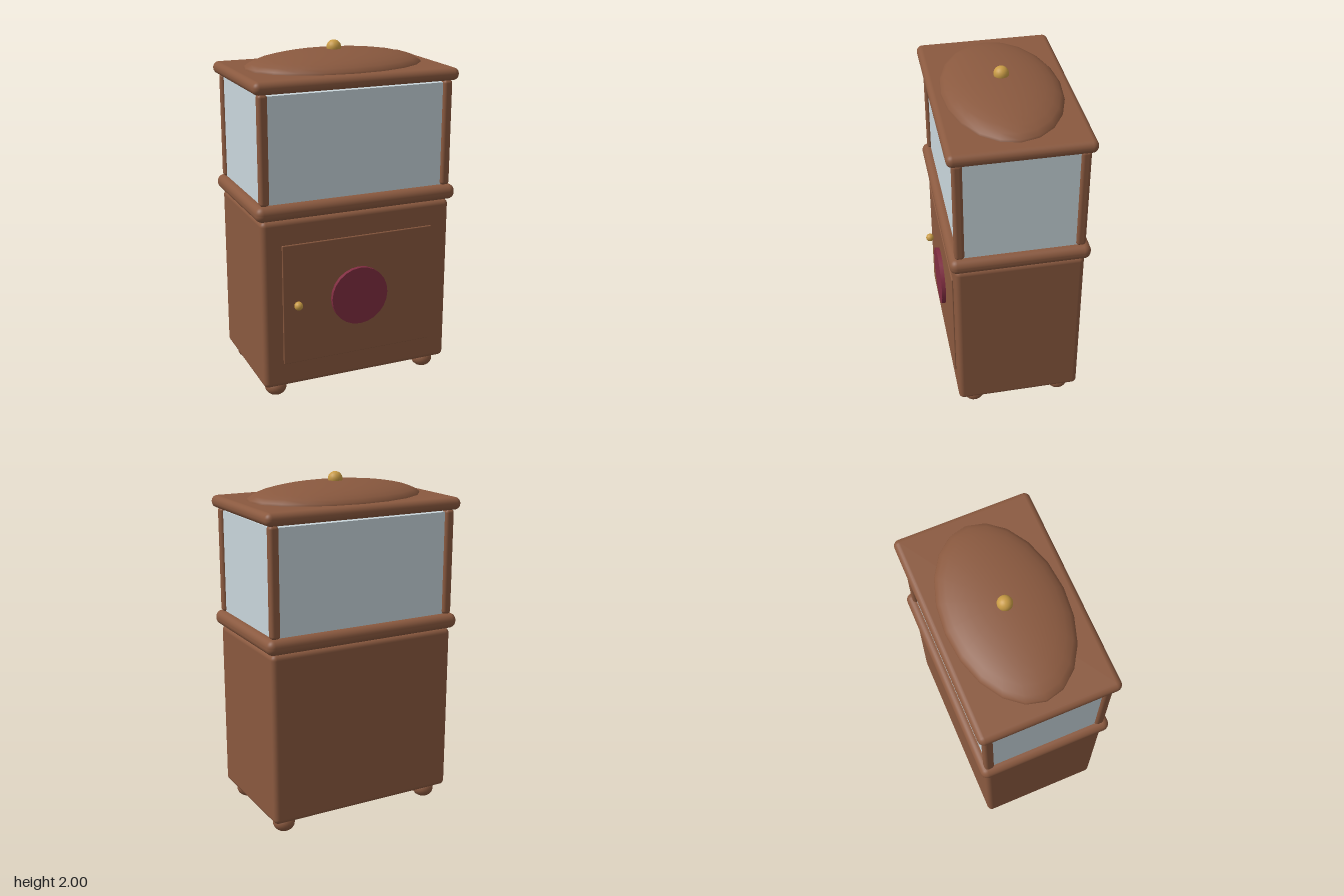
import * as THREE from 'three';
import { RoundedBoxGeometry } from 'three/addons/geometries/RoundedBoxGeometry.js';

export function createModel() {
  const model = new THREE.Group();
  model.name = 'displayCabinet';
  const mat = (name, color) => {
    const m = new THREE.MeshStandardMaterial({ color });
    m.name = name;
    return m;
  };
  const wood = mat('wood', 0x8a593f);
  const glass = mat('paleGlass', 0xc9d6dc);
  const brass = mat('brass', 0xc89b45);
  const crimson = mat('crimson', 0x802d41);

  const ZC = -0.015; // centre of the cabinet in depth
  const add = (name, geometry, material, x, y, z) => {
    const mesh = new THREE.Mesh(geometry, material);
    mesh.name = name;
    mesh.position.set(x, y, z);
    model.add(mesh);
    return mesh;
  };
  // Rounded box given by its bottom and top heights
  const block = (name, w, y0, y1, d, r, x = 0, z = ZC) =>
    add(name, new RoundedBoxGeometry(w, y1 - y0, d, 4, r), wood, x, (y0 + y1) / 2, z);

  // Lower cabinet and the two mouldings
  block('cabinetBody', 1.15, 0.09, 1.092, 0.72, 0.03);
  block('middleMoulding', 1.21, 1.095, 1.182, 0.778, 0.04);
  block('topMoulding', 1.21, 1.789, 1.86, 0.778, 0.034);

  // Bun feet and corner posts
  for (const sx of [-1, 1]) {
    for (const sz of [-1, 1]) {
      add('foot', new THREE.SphereGeometry(0.0635, 20, 14), wood, sx * 0.477, 0.053, ZC + sz * 0.26)
        .scale.y = 0.053 / 0.0635;
      block('cornerPost', 0.054, 1.18, 1.79, 0.054, 0.018, sx * 0.548, ZC + sz * 0.333);
    }
  }

  // Glazed case
  add('glassCase', new THREE.BoxGeometry(1.12, 0.597, 0.68), glass, 0, 1.4785, ZC);

  // Domed lid with finial
  add('domedLid', new THREE.SphereGeometry(1, 20, 16), wood, 0, 1.851, ZC)
    .scale.set(0.533, 0.1, 0.332);
  add('finial', new THREE.SphereGeometry(0.042, 20, 14), brass, 0, 1.958, ZC);

  // Door with round panel and knob
  block('door', 0.92, 0.232, 0.948, 0.03, 0.005, 0, 0.338);
  add('roundPanel', new THREE.CylinderGeometry(0.172, 0.172, 0.04, 24), crimson, 0, 0.591, 0.357)
    .rotation.x = Math.PI / 2;
  add('doorKnob', new THREE.SphereGeometry(0.025, 16, 12), brass, -0.377, 0.591, 0.377);

  return model;
}
